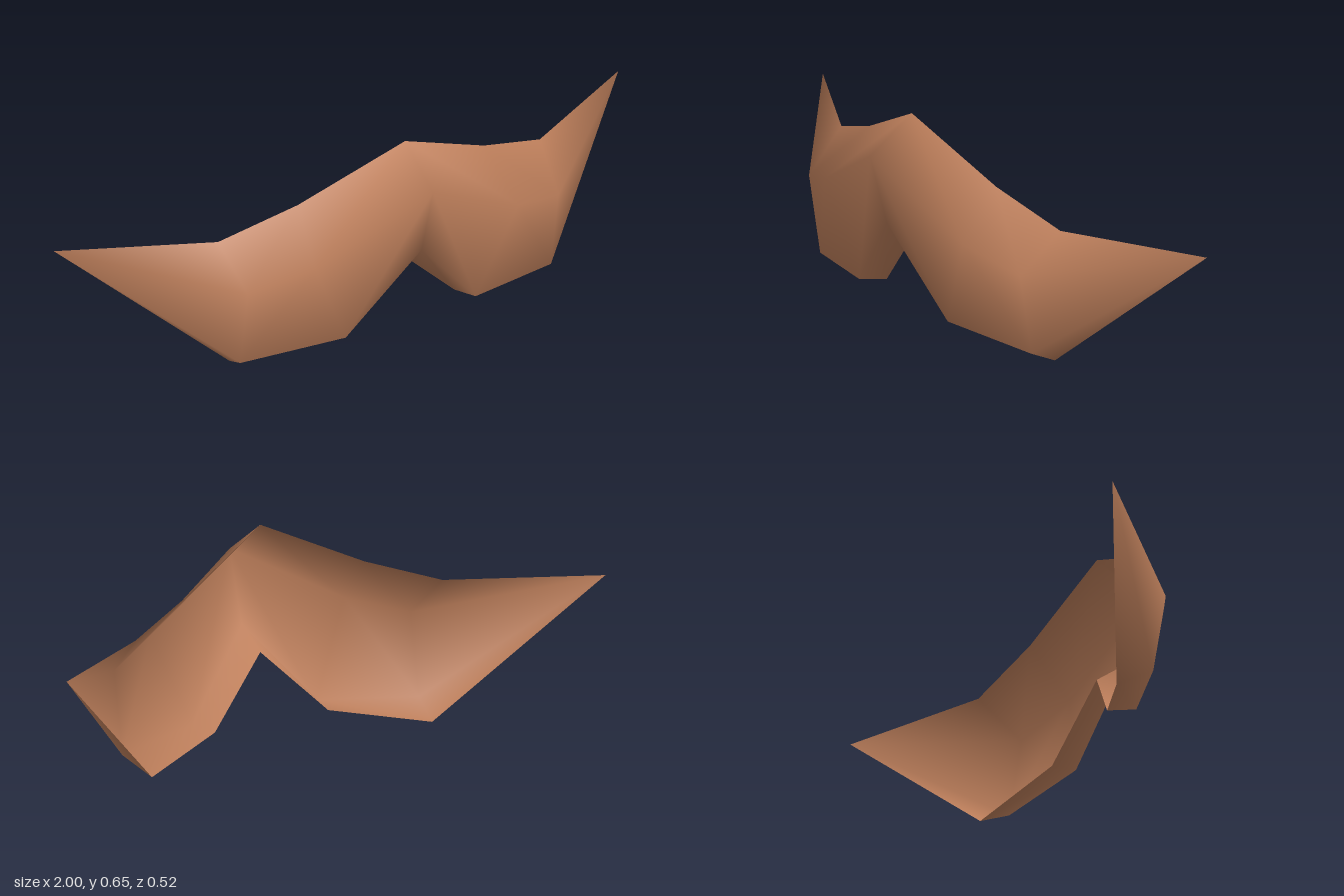
import * as THREE from 'three';

// Cross-sections of one half, from the middle outwards.
// Each runs: top edge, front ridge, front of the lip, back of the lip.
const half = [
  [[0, 0.655, 0.11], [0, 0.55, 0.26], [0, 0.33, 0.2], [0, 0.265, 0.11]],
  [[0.33, 0.505, 0.035], [0.36, 0.36, 0.175], [0.23, 0.075, 0.14], [0.21, 0.065, 0.055]],
  [[0.57, 0.423, -0.03], [0.55, 0.3, 0.1], [0.55, 0.05, 0.06], [0.52, 0, -0.045]],
];
const tip = [1, 0.417, -0.26];
const mirror = ([x, y, z]) => [-x, y, z];

// A thin curved shell, open at the back
function curvedShell() {
  // Mirrored sections in order of rising x, followed by the two tips
  const sections = [
    ...half.slice(1).reverse().map((s) => s.map(mirror)),
    ...half,
  ];
  const n = 4;
  const points = [...sections.flat(), mirror(tip), tip];
  const rightTip = points.length - 2;
  const leftTip = points.length - 1;
  const last = (sections.length - 1) * n;
  const index = [];

  for (let j = 0; j < n - 1; j++) {
    // Skin between neighbouring sections, split symmetrically about the middle
    for (let i = 0; i < sections.length - 1; i++) {
      const a = i * n + j, b = a + 1, c = b + n, d = a + n;
      if (i < 2) index.push(a, b, d, b, c, d);
      else index.push(a, b, c, a, c, d);
    }
    // Pointed ends
    index.push(rightTip, j + 1, j);
    index.push(last + j, last + j + 1, leftTip);
  }

  const geometry = new THREE.BufferGeometry();
  geometry.setAttribute('position', new THREE.Float32BufferAttribute(points.flat(), 3));
  geometry.setIndex(index);
  geometry.computeVertexNormals();
  return geometry;
}

export function createModel() {
  const group = new THREE.Group();
  group.name = 'moustache';
  const brown = new THREE.MeshStandardMaterial({ color: 0xbe7f5b, side: THREE.DoubleSide });
  brown.name = 'warm brown';
  const shell = new THREE.Mesh(curvedShell(), brown);
  shell.name = 'moustacheShell';
  group.add(shell);
  return group;
}
